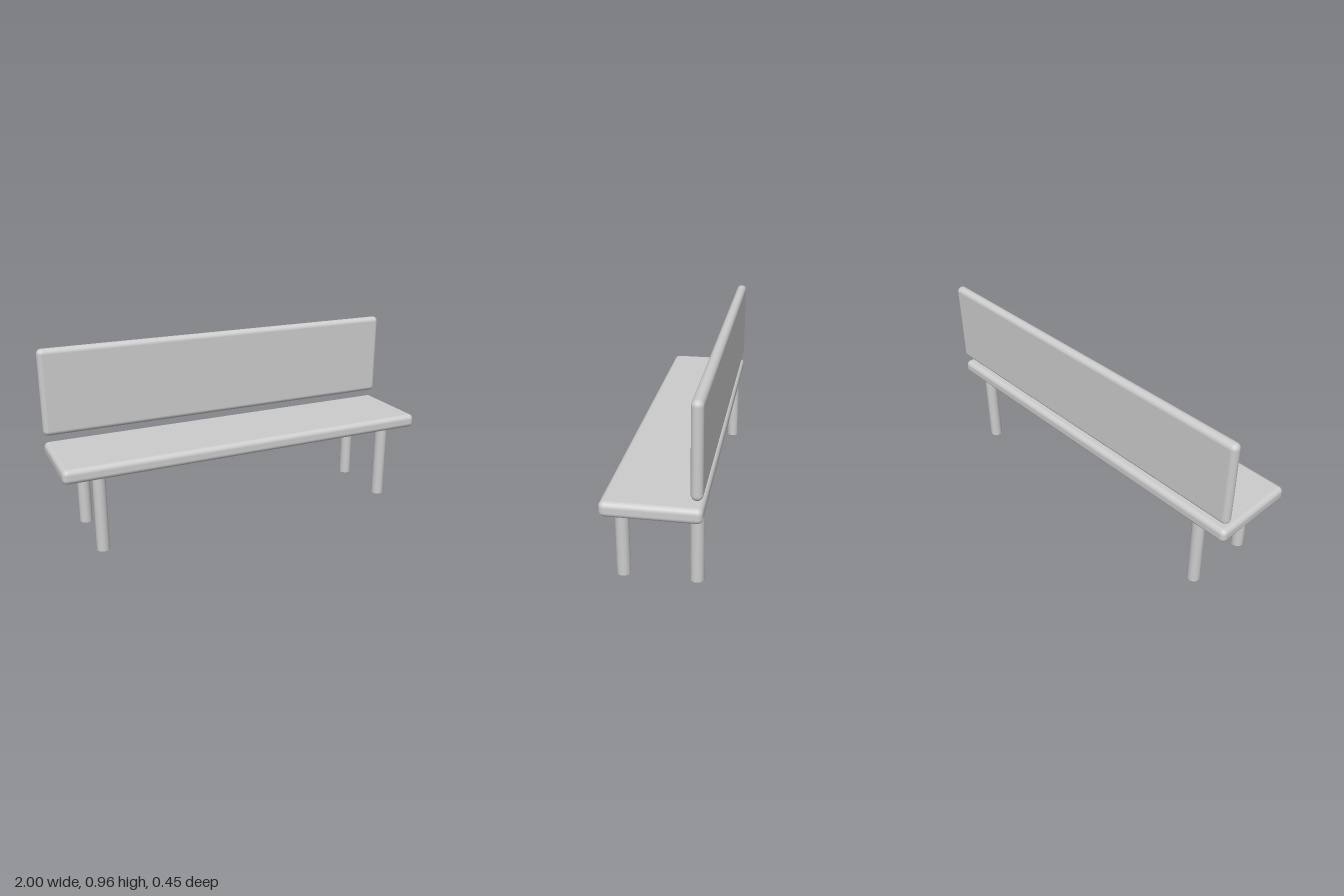
import * as THREE from 'three';
import { RoundedBoxGeometry } from 'three/addons/geometries/RoundedBoxGeometry.js';

export function createModel() {
  const bench = new THREE.Group();
  bench.name = 'bench';
  const grey = new THREE.MeshStandardMaterial({ color: 0xcccccc });
  grey.name = 'light grey';

  const add = (name, geometry, x, y, z) => {
    const mesh = new THREE.Mesh(geometry, grey);
    mesh.name = name;
    mesh.position.set(x, y, z);
    bench.add(mesh);
  };

  // Cushioned slabs with rounded edges
  add('seat', new RoundedBoxGeometry(2, 0.073, 0.454, 6, 0.026), 0, 0.4295, 0);
  add('backrest', new RoundedBoxGeometry(2, 0.452, 0.054, 6, 0.0265), 0, 0.73, -0.2);

  // Four round legs, sunk slightly into the seat
  const legHeight = 0.4;
  const leg = new THREE.CylinderGeometry(0.0325, 0.0325, legHeight, 32);
  for (const [side, x] of [['left', 0.818], ['right', -0.818]]) {
    add(`${side}FrontLeg`, leg, x, legHeight / 2, 0.166);
    add(`${side}BackLeg`, leg, x, legHeight / 2, -0.181);
  }
  return bench;
}
